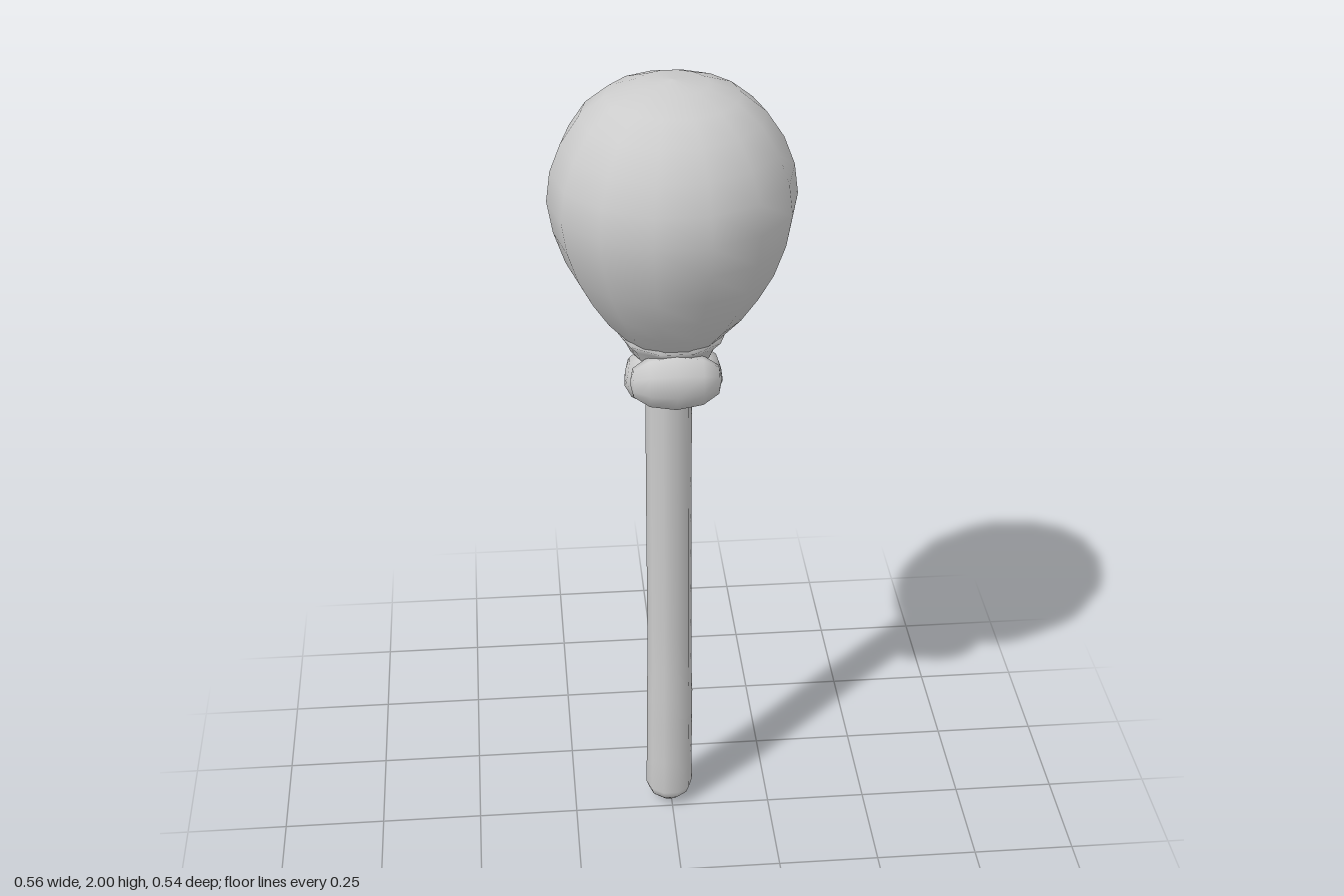
import * as THREE from 'three';

const material = new THREE.MeshStandardMaterial({ color: 0xcccccc, side: THREE.DoubleSide });

function add(group, name, geometry) {
  const mesh = new THREE.Mesh(geometry, material);
  mesh.name = name;
  group.add(mesh);
  return mesh;
}

// Lathe from [radius, y] pairs, with a vertex on +x
function turned(points, sides) {
  return new THREE.LatheGeometry(points.map(([r, y]) => new THREE.Vector2(r, y)), sides, Math.PI / 2);
}

// Soft lump with squared-off ends
function lump(rx, ry, rz) {
  return turned([[0, -1], [0.5, -0.93], [0.86, -0.58], [1, 0], [0.86, 0.58], [0.5, 0.93], [0, 1]], 8)
    .rotateZ(Math.PI / 2).scale(rx, ry, rz);
}

export function createModel() {
  const group = new THREE.Group();

  // Pear-shaped balloon
  add(group, 'balloon', turned([
    [0, 1.365], [0.085, 1.37], [0.12, 1.4], [0.165, 1.45], [0.205, 1.51], [0.24, 1.575], [0.266, 1.65],
    [0.279, 1.725], [0.27, 1.795], [0.245, 1.86], [0.205, 1.92], [0.15, 1.965], [0.08, 1.991], [0, 2],
  ], 14));

  // Flared collar, slightly lower at the back
  const collar = turned([[0, 1.32], [0.08, 1.325], [0.097, 1.345], [0.106, 1.365], [0.127, 1.395], [0.11, 1.412], [0, 1.412]], 10);
  const cp = collar.attributes.position;
  for (let i = 0; i < cp.count; i++) {
    if (cp.getY(i) < 1.38) cp.setY(i, cp.getY(i) + cp.getZ(i) * 0.12);
  }
  collar.computeVertexNormals();
  add(group, 'collar', collar);

  // Knot: one wrap across the front, two lobes behind and below it
  const wrap = add(group, 'knotWrap', lump(0.105, 0.072, 0.06));
  wrap.position.set(0, 1.312, 0.09);
  wrap.rotation.x = 0.25;
  for (const side of [-1, 1]) {
    const lobe = add(group, side > 0 ? 'knotLobeLeft' : 'knotLobeRight', lump(0.06, 0.066, 0.085));
    lobe.position.set(side * 0.052, 1.29, 0.018);
    lobe.rotation.set(-0.35, 0, side * 0.2);
  }

  // Thick string with rounded ends, swaying gently in z
  const profile = [[0, 0], [0.032, 0.008], [0.052, 0.028], [0.06, 0.05]];
  for (let y = 0.15; y < 1.26; y += 0.1) profile.push([y < 0.4 ? 0.058 : 0.055, y]);
  profile.push([0.055, 1.29], [0.045, 1.32], [0.025, 1.335], [0, 1.34]);
  const string = turned(profile, 10);
  const sway = new THREE.SplineCurve([
    [-0.049, 0], [-0.037, 0.18], [-0.03, 0.36], [-0.034, 0.54], [-0.043, 0.75], [-0.047, 0.95], [-0.047, 1.15], [-0.049, 1.34],
  ].map(([z, y]) => new THREE.Vector2(z, y)));
  const sp = string.attributes.position;
  for (let i = 0; i < sp.count; i++) {
    const z = sway.getPoint(sp.getY(i) / 1.34).x;
    sp.setXYZ(i, sp.getX(i) - 0.005, sp.getY(i), sp.getZ(i) + z);
  }
  add(group, 'string', string);

  return group;
}
